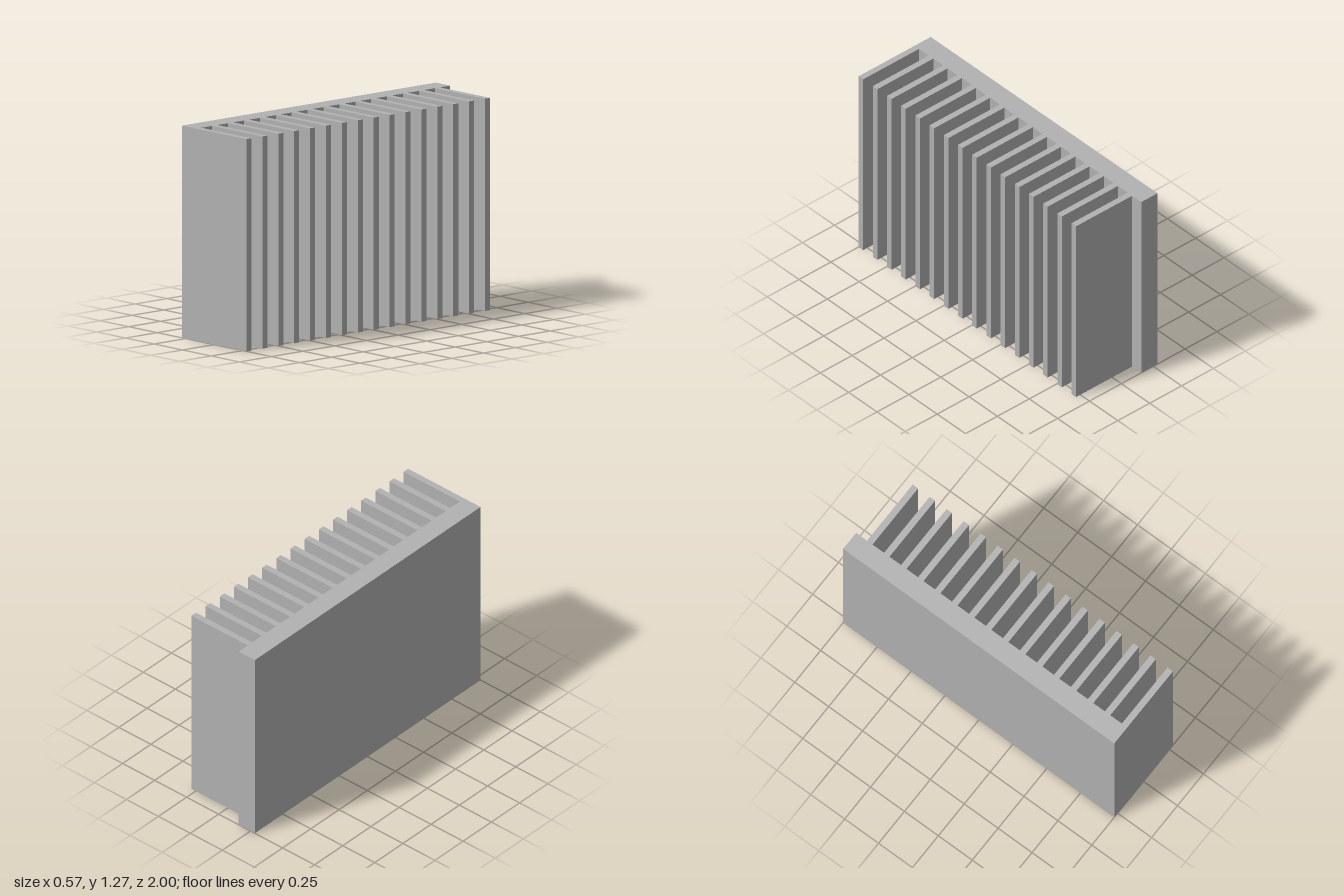
import * as THREE from 'three';

const HEIGHT = 1.267;
const BACK_X = -0.283, ROOT_X = -0.157, TIP_X = 0.283;
const FIN_COUNT = 16, FIN_THICKNESS = 0.04, FIN_PITCH = 0.1253;

export function createModel() {
  const model = new THREE.Group();
  model.name = 'heatSink';
  const metal = new THREE.MeshStandardMaterial({ color: 0xb2b2b2 });
  metal.name = 'grey metal';

  // Comb-shaped plan: a thick base plate with evenly spaced fins.
  // Shape y is -z; the first fin is flush with the front end.
  const plan = new THREE.Shape();
  plan.moveTo(BACK_X, -1);
  for (let i = 0; i < FIN_COUNT; i++) {
    const start = -1 + i * FIN_PITCH;
    const end = start + FIN_THICKNESS;
    if (i > 0) plan.lineTo(ROOT_X, start);
    plan.lineTo(TIP_X, start);
    plan.lineTo(TIP_X, end);
    plan.lineTo(ROOT_X, end);
  }
  plan.lineTo(ROOT_X, 1);
  plan.lineTo(BACK_X, 1);
  plan.closePath();

  // Extrude the plan straight up
  const geometry = new THREE.ExtrudeGeometry(plan, { depth: HEIGHT, bevelEnabled: false });
  geometry.rotateX(-Math.PI / 2);
  const body = new THREE.Mesh(geometry, metal);
  body.name = 'finnedBase';
  model.add(body);
  return model;
}
